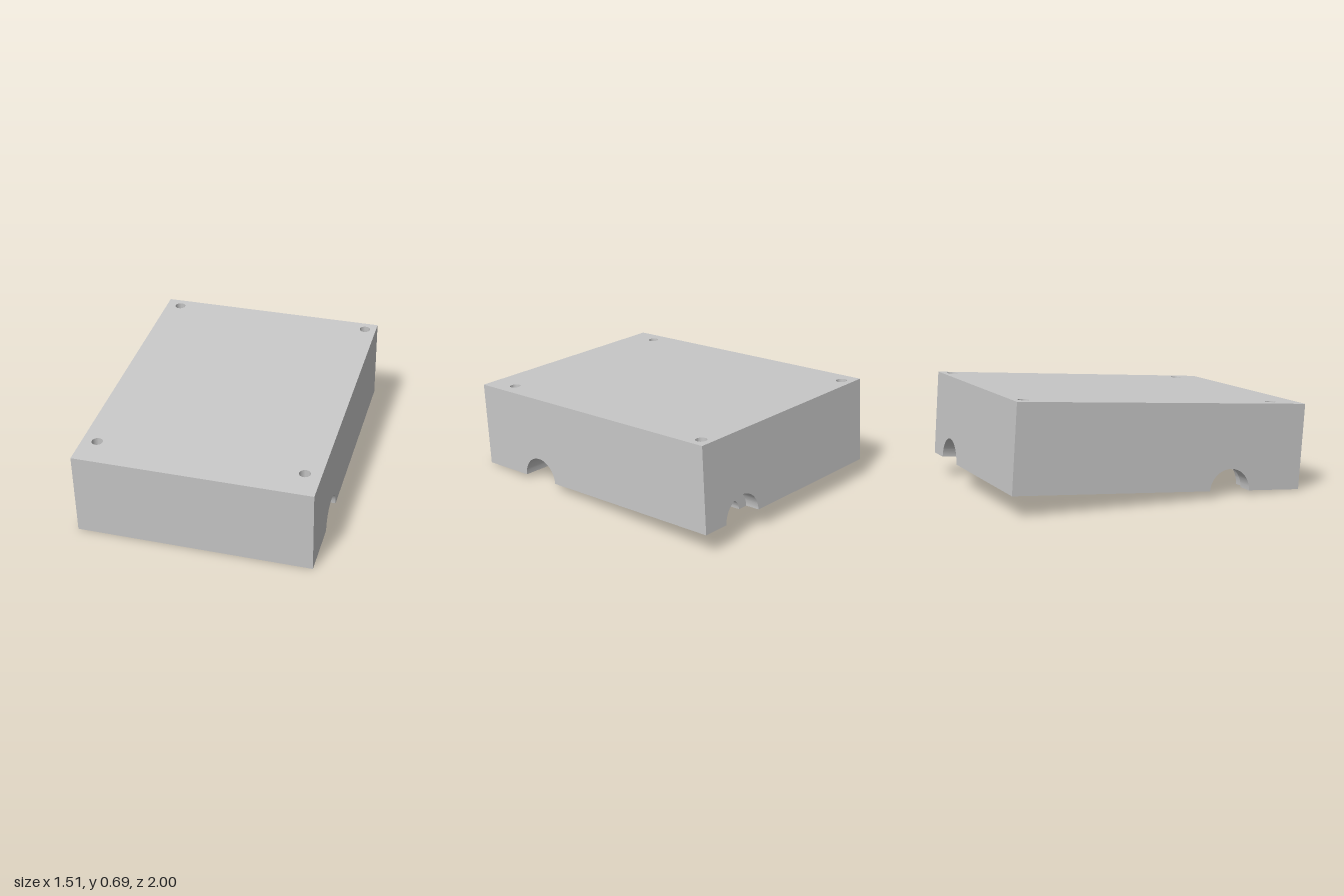
import * as THREE from 'three';
import { mergeGeometries, toCreasedNormals } from 'three/addons/utils/BufferGeometryUtils.js';

const W = 0.755, L = 0.983, H = 0.555, TILT = THREE.MathUtils.degToRad(4);

// Half-round pockets in the underside: axis, centre across it, radius, start and end along it
const pockets = [
  { axis: 'x', c: 0.475, r: 0.425, from: -0.54, to: 0.378, seg: 32 },  // gear wheel
  { axis: 'x', c: 0.475, r: 0.14, from: -W, to: W, seg: 20 },          // axle
  { axis: 'x', c: 0.475, r: 0.17, from: -0.65, to: -0.54, seg: 20 },   // axle bearing seat
  { axis: 'z', c: 0.43, r: 0.08, from: -L, to: 0.01, seg: 16 },        // drive shaft
  { axis: 'z', c: 0.43, r: 0.147, from: -L, to: -0.885, seg: 20 },     // shaft mouth
  { axis: 'z', c: 0.43, r: 0.14, from: -0.38, to: -0.275, seg: 20 },   // bearing seat
  { axis: 'z', c: 0.43, r: 0.14, from: -0.1, to: 0.005, seg: 20 },     // bearing seat
  { axis: 'z', c: 0.43, r: 0.185, from: 0.005, to: 0.38, seg: 24 },    // pinion
];

const screws = [[-0.658, -0.908], [0.68, -0.908], [-0.658, 0.782], [0.652, 0.782]];
const HOLE = 0.035, PAD = 0.045;

// Sorted grid lines that follow every pocket edge and curve
function gridLines(axis, half) {
  const v = [-half, half];
  for (const p of pockets) {
    if (p.axis === axis) v.push(p.from, p.to);
    else for (let i = 0; i <= p.seg; i++) v.push(p.c + p.r * Math.cos(Math.PI * i / p.seg));
  }
  for (const s of screws) {
    const c = axis === 'x' ? s[0] : s[1];
    v.push(c - PAD, c + PAD);
  }
  return v.sort((a, b) => a - b).filter((a, i) => i === 0 || a - v[i - 1] > 1e-6);
}

// Underside with its pockets, and the outer walls, as one stepped surface
function shellGeometry() {
  const xs = gridLines('x', W), zs = gridLines('z', L);
  const pos = [];
  const quad = (a, b, c, d) => pos.push(...a, ...b, ...c, ...a, ...c, ...d);

  // Height of a cell's four corners: [x0z0, x1z0, x0z1, x1z1]; outside counts as full height
  function cell(i, j) {
    if (i < 0 || j < 0 || i >= xs.length - 1 || j >= zs.length - 1) return [H, H, H, H];
    const mx = (xs[i] + xs[i + 1]) / 2, mz = (zs[j] + zs[j + 1]) / 2;
    const inside = pockets.filter(p => {
      const [along, across] = p.axis === 'x' ? [mx, mz] : [mz, mx];
      return along > p.from && along < p.to && Math.abs(across - p.c) < p.r;
    });
    return [[0, 0], [1, 0], [0, 1], [1, 1]].map(([u, w]) => {
      let h = 0;
      for (const p of inside) {
        const d = (p.axis === 'x' ? zs[j + w] : xs[i + u]) - p.c;
        h = Math.max(h, Math.sqrt(Math.max(0, p.r * p.r - d * d)));
      }
      return h;
    });
  }

  // Upright step between two cells along the edge P-Q, facing the hollower one
  function step(P, Q, a0, a1, b0, b1) {
    if (Math.abs(a0 - b0) + Math.abs(a1 - b1) < 1e-4) return;
    quad([P[0], b0, P[1]], [Q[0], b1, Q[1]], [Q[0], a1, Q[1]], [P[0], a0, P[1]]);
  }

  for (let i = -1; i < xs.length - 1; i++) {
    for (let j = -1; j < zs.length - 1; j++) {
      const h = cell(i, j), [x0, x1, z0, z1] = [xs[i], xs[i + 1], zs[j], zs[j + 1]];
      if (j >= 0) {
        const n = cell(i + 1, j);
        step([x1, z0], [x1, z1], h[1], h[3], n[0], n[2]);
      }
      if (i >= 0) {
        const n = cell(i, j + 1);
        step([x1, z1], [x0, z1], h[3], h[2], n[1], n[0]);
      }
      if (i < 0 || j < 0) continue;
      const mx = (x0 + x1) / 2, mz = (z0 + z1) / 2;
      if (screws.some(s => Math.abs(mx - s[0]) < PAD && Math.abs(mz - s[1]) < PAD)) continue;
      quad([x0, h[0], z0], [x1, h[1], z0], [x1, h[3], z1], [x0, h[2], z1]);
    }
  }
  const g = new THREE.BufferGeometry();
  g.setAttribute('position', new THREE.Float32BufferAttribute(pos, 3));
  return toCreasedNormals(g, 0.5);
}

// Flat rectangle with round holes, facing up; drawn with shape y = -z
function plate(hw, hl, holes) {
  const s = new THREE.Shape();
  s.moveTo(-hw, -hl).lineTo(hw, -hl).lineTo(hw, hl).lineTo(-hw, hl);
  s.closePath();
  for (const [x, z] of holes) s.holes.push(new THREE.Path().absarc(x, -z, HOLE, 0, Math.PI * 2, true));
  return new THREE.ShapeGeometry(s, 16).rotateX(-Math.PI / 2);
}

export function createModel() {
  const model = new THREE.Group();
  model.name = 'gearboxCover';
  const grey = new THREE.MeshStandardMaterial({ color: 0xc8c8c8 });
  grey.name = 'plainGrey';

  // Everything sits in a body tilted down towards the front
  const body = new THREE.Group();
  body.name = 'tiltedBody';
  body.rotation.x = TILT;
  body.position.set(0, L * Math.sin(TILT), -H * Math.sin(TILT) / 2);
  model.add(body);
  const add = (name, geometry) => {
    const m = new THREE.Mesh(geometry, grey);
    m.name = name;
    body.add(m);
  };

  add('wallsAndPockets', shellGeometry());
  add('topFace', plate(W, L, screws).translate(0, H, 0));

  // Underside squares around the screw holes, turned to face down
  const rims = screws.map(([x, z]) => plate(PAD, PAD, [[0, 0]]).rotateX(Math.PI).translate(x, 0, z));
  add('screwHoleRims', mergeGeometries(rims));

  // Screw hole bores, mirrored so they face inward
  const bores = screws.map(([x, z]) => {
    const g = new THREE.CylinderGeometry(HOLE, HOLE, H, 32, 1, true);
    return toCreasedNormals(g.scale(-1, 1, 1), 0.5).translate(x, H / 2, z);
  });
  add('screwHoleBores', mergeGeometries(bores));
  return model;
}
